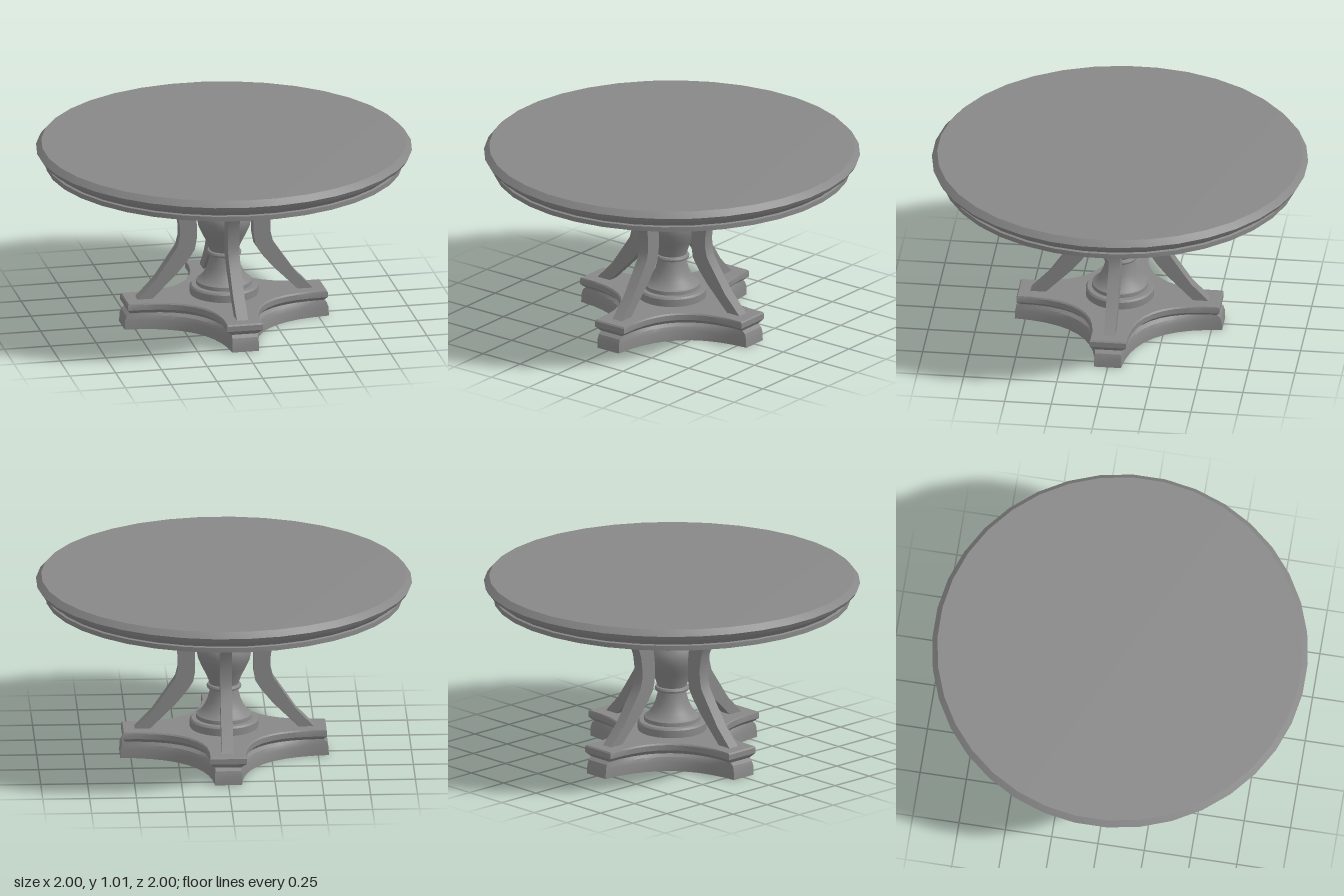
import * as THREE from 'three';
import { toCreasedNormals } from 'three/addons/utils/BufferGeometryUtils.js';

const material = new THREE.MeshStandardMaterial({ color: 0x888888 });

function addMesh(parent, name, geometry, crease = 0.5) {
  const mesh = new THREE.Mesh(toCreasedNormals(geometry, crease), material);
  mesh.name = name;
  parent.add(mesh);
  return mesh;
}

const points = (list) => list.map(([x, y]) => new THREE.Vector2(x, y));

// Four-pointed outline with blunt tips and concave sides
function baseOutline(tip, half, control) {
  const side = new THREE.QuadraticBezierCurve(
    new THREE.Vector2(tip, half),
    new THREE.Vector2(control, control),
    new THREE.Vector2(half, tip)
  ).getPoints(10);
  const outline = [];
  for (let k = 0; k < 4; k++) {
    for (const p of side) {
      outline.push(p.clone().rotateAround(new THREE.Vector2(), k * Math.PI / 2));
    }
  }
  return outline;
}

// Moulded base: outlines stacked as [height, tip, half width, control], closed by fans
function baseGeometry() {
  const layers = [
    [0, 0.557, 0.072, 0.095], [0.05, 0.554, 0.072, 0.092], [0.075, 0.546, 0.07, 0.084],
    [0.09, 0.528, 0.07, 0.066], [0.113, 0.545, 0.098, 0.076],
    [0.142, 0.545, 0.098, 0.076], [0.15, 0.539, 0.095, 0.07],
  ];
  const position = [], index = [];
  let n = 0;
  for (const [y, ...size] of layers) {
    const outline = baseOutline(...size);
    n = outline.length;
    for (const p of outline) position.push(p.x, y, -p.y);
  }
  for (let j = 0; j < layers.length - 1; j++) {
    for (let i = 0; i < n; i++) {
      const a = j * n + i, b = j * n + (i + 1) % n;
      index.push(a, b, b + n, a, b + n, a + n);
    }
  }
  const bottom = layers.length * n, top = bottom + 1, last = (layers.length - 1) * n;
  position.push(0, 0, 0, 0, 0.15, 0);
  for (let i = 0; i < n; i++) {
    const next = (i + 1) % n;
    index.push(bottom, next, i, top, last + i, last + next);
  }
  const geometry = new THREE.BufferGeometry();
  geometry.setAttribute('position', new THREE.Float32BufferAttribute(position, 3));
  geometry.setIndex(index);
  return geometry;
}

// Curved leg drawn in profile, running from the base to the underside of the top
function legGeometry() {
  const shape = new THREE.Shape(points([
    [0.483, 0.145], [0.382, 0.25], [0.307, 0.36], [0.26, 0.43], [0.248, 0.48], [0.247, 0.54],
    [0.257, 0.61], [0.288, 0.69], [0.34, 0.765], [0.442, 0.88],
    [0.3, 0.88], [0.2, 0.745], [0.168, 0.665], [0.155, 0.555],
    [0.155, 0.47], [0.166, 0.41], [0.202, 0.355], [0.26, 0.285], [0.4, 0.145],
  ]));
  const geometry = new THREE.ExtrudeGeometry(shape, { depth: 0.062, bevelEnabled: false });
  return geometry.translate(0, 0, -0.031);
}

export function createModel() {
  const table = new THREE.Group();
  table.name = 'pedestalTable';

  // Round top with a bevelled rim and stepped moulding
  const sides = 36;
  const topProfile = points([
    [0, 0.876], [0.95, 0.876], [0.95, 0.902], [0.937, 0.906], [0.965, 0.938],
    [0.985, 0.943], [1, 0.968], [0.972, 1], [0, 1.008],
  ]);
  const topGeometry = new THREE.LatheGeometry(topProfile, sides, Math.PI / sides);
  const fit = 1 / Math.cos(Math.PI / sides);
  addMesh(table, 'tableTop', topGeometry.scale(fit, 1, fit), 0.25);

  // Turned central column
  const columnProfile = points([
    [0, 0.14], [0.183, 0.14], [0.183, 0.19], [0.175, 0.2], [0.15, 0.202], [0.148, 0.222],
    [0.135, 0.23], [0.11, 0.26], [0.09, 0.3], [0.077, 0.35], [0.075, 0.365],
    [0.09, 0.37], [0.093, 0.38], [0.088, 0.39], [0.078, 0.393],
    [0.09, 0.43], [0.115, 0.48], [0.138, 0.53], [0.146, 0.57], [0.142, 0.6],
    [0.125, 0.64], [0.1, 0.672], [0.108, 0.677], [0.11, 0.684], [0.106, 0.691],
    [0.094, 0.694], [0.092, 0.73], [0.098, 0.88], [0, 0.88],
  ]);
  addMesh(table, 'column', new THREE.LatheGeometry(columnProfile, 32));

  addMesh(table, 'base', baseGeometry());

  // Four legs, one over each tip of the base
  for (let k = 0; k < 4; k++) {
    addMesh(table, 'leg', legGeometry()).rotation.y = k * Math.PI / 2;
  }
  return table;
}
